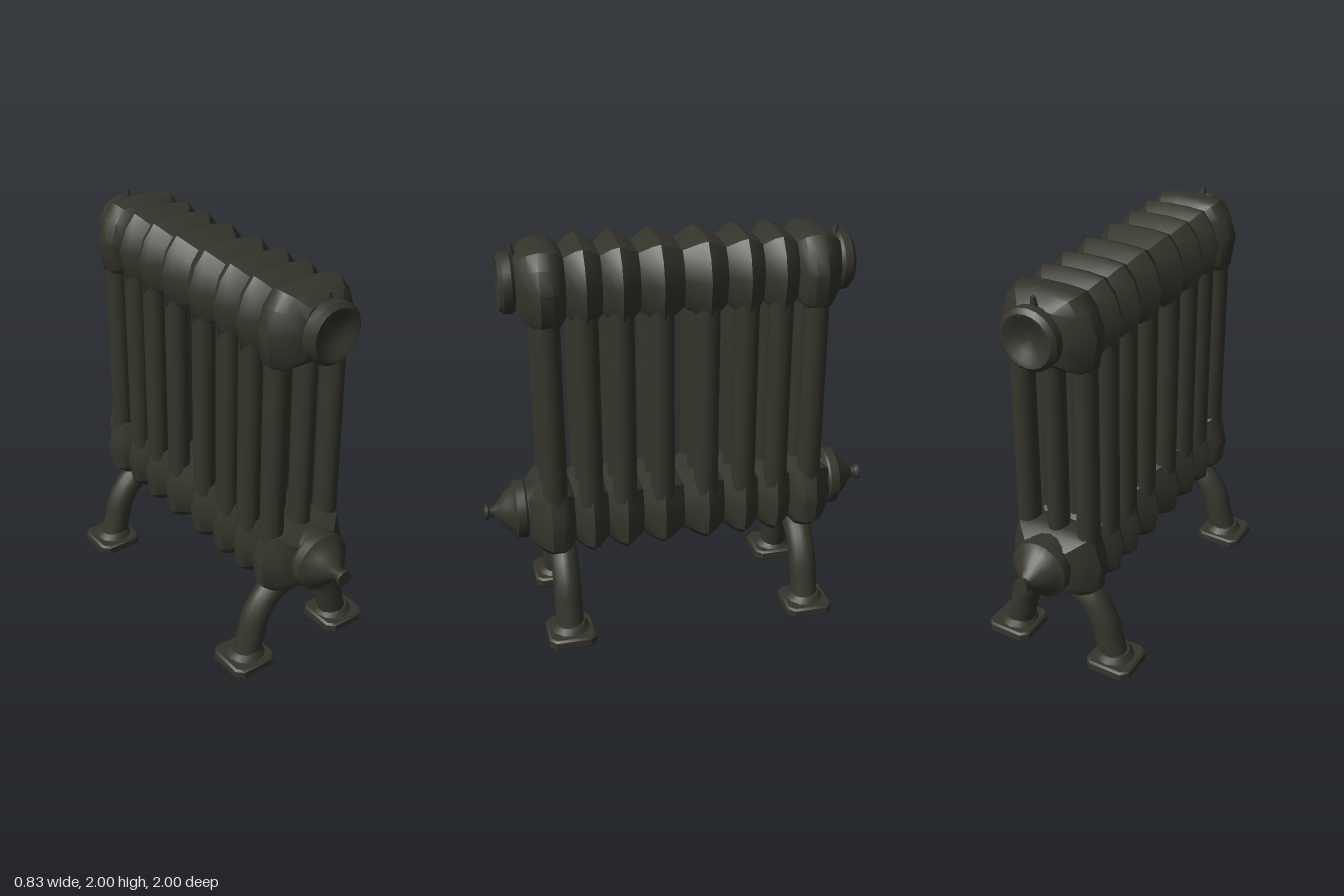
import * as THREE from 'three';
import { toCreasedNormals } from 'three/addons/utils/BufferGeometryUtils.js';

const castIron = new THREE.MeshStandardMaterial({ color: 0x35342b });
castIron.name = 'dark cast iron';

const SECTIONS = [-0.655, -0.475, -0.305, -0.112, 0.112, 0.305, 0.475, 0.655];

function add(parent, name, geometry, x = 0, y = 0, z = 0, crease = 0.6) {
  const mesh = new THREE.Mesh(toCreasedNormals(geometry, crease), castIron);
  mesh.name = name;
  mesh.position.set(x, y, z);
  parent.add(mesh);
  return mesh;
}

// Skin a closed outline (counter-clockwise from +z) scaled along z: rings are [z, scaleX, scaleY]
function loft(outline, rings) {
  const pos = [], idx = [], n = outline.length;
  for (const [z, sx, sy] of rings) for (const [x, y] of outline) pos.push(x * sx, y * sy, z);
  for (let i = 0; i < rings.length - 1; i++) {
    for (let j = 0; j < n; j++) {
      const a = i * n + j, b = i * n + (j + 1) % n;
      idx.push(a, b, b + n, a, b + n, a + n);
    }
  }
  const g = new THREE.BufferGeometry();
  g.setAttribute('position', new THREE.Float32BufferAttribute(pos, 3));
  g.setIndex(idx);
  return g;
}

// Mirror a right-hand half outline (bottom to top) across x = 0
const mirrorOutline = half => [...half, ...half.map(([x, y]) => [-x, y]).reverse()];

// Ridged rings for the whole header: one crest per section, a valley between
function headerRings() {
  const half = [[0, 0.71, 0.74]];
  for (const [crest, valley] of [[0.112, 0.21], [0.305, 0.39], [0.475, 0.56]]) {
    half.push([crest - 0.035, 0.93, 0.94], [crest, 1, 1], [crest + 0.035, 0.93, 0.94], [valley, 0.71, 0.74]);
  }
  half.push([0.59, 0.92, 0.91], [0.625, 1, 0.98], [0.685, 1, 0.98], [0.73, 0.86, 0.9], [0.785, 0.56, 0.66], [0.8, 0.05, 0.05]);
  const back = half.slice(1).reverse().map(([z, a, b]) => [-z, a, b]);
  return [...back, ...half];
}

// Turned part along +z: profile of [radius, z]
const turned = profile =>
  new THREE.LatheGeometry(profile.map(([r, z]) => new THREE.Vector2(r, z)), 20).rotateX(Math.PI / 2);

function makeFoot(parent, side) {
  const w = 0.115, c = 0.03;
  const shape = new THREE.Shape([
    [w, -w + c], [w, w - c], [w - c, w], [-w + c, w], [-w, w - c], [-w, -w + c], [-w + c, -w], [w - c, -w],
  ].map(([x, y]) => new THREE.Vector2(x, y)));
  const plate = new THREE.ExtrudeGeometry(shape, {
    depth: 0.035, bevelEnabled: true, bevelSize: 0.01, bevelThickness: 0.01, bevelOffset: -0.005, bevelSegments: 1,
  }).rotateX(-Math.PI / 2);
  add(parent, 'footPlate', plate, side * 0.293, 0.01, 0);
  add(parent, 'footHub', new THREE.CylinderGeometry(0.075, 0.1, 0.035, 12), side * 0.285, 0.068, 0);
}

function makeEnd(name) {
  const end = new THREE.Group();
  end.name = name;

  // Dished plug on the upper header
  add(end, 'upperPlug', turned([
    [0.13, 0.7], [0.135, 0.785], [0.148, 0.8], [0.146, 0.84], [0.125, 0.86], [0.105, 0.855], [0.07, 0.83], [0, 0.815],
  ]), 0, 1.81, 0);
  const valve = add(end, 'bleedValve', new THREE.CylinderGeometry(0.012, 0.022, 0.08, 8), 0, 1.95, 0.785);
  valve.rotation.x = 0.15;

  // Tapered inlet on the lower header
  add(end, 'lowerInlet', turned([
    [0.14, 0.7], [0.142, 0.79], [0.15, 0.8], [0.148, 0.845], [0.115, 0.865], [0.1, 0.89], [0.055, 0.925],
    [0.028, 0.955], [0.03, 0.975], [0.04, 0.985], [0.04, 1.0], [0, 1.0],
  ]), 0, 0.61, 0);

  // Arched pair of legs with square feet
  const legs = new THREE.Group();
  legs.name = 'legPair';
  legs.position.z = 0.625;
  const half = [[0.285, 0.04], [0.255, 0.15], [0.225, 0.26], [0.14, 0.375]];
  const path = [...half, [0, 0.42], ...half.map(([x, y]) => [-x, y]).reverse()];
  const curve = new THREE.CatmullRomCurve3(path.map(([x, y]) => new THREE.Vector3(x, y, 0)));
  add(legs, 'legArch', new THREE.TubeGeometry(curve, 28, 0.07, 14, false));
  for (const side of [-1, 1]) makeFoot(legs, side);
  end.add(legs);
  return end;
}

export function createModel() {
  const model = new THREE.Group();
  model.name = 'columnRadiator';

  // Ridged upper and lower headers
  const upper = mirrorOutline([
    [0.07, -0.185], [0.2, -0.185], [0.222, -0.16], [0.245, 0], [0.21, 0.11], [0.155, 0.18], [0.06, 0.19],
  ]);
  const lower = mirrorOutline([
    [0.07, -0.185], [0.18, -0.17], [0.228, -0.13], [0.248, 0.01], [0.222, 0.11], [0.205, 0.175], [0.07, 0.18],
  ]);
  add(model, 'upperHeader', loft(upper, headerRings()), 0, 1.808, 0);
  add(model, 'lowerHeader', loft(lower, headerRings()), 0, 0.592, 0);

  // Three slim columns per section
  for (const z of SECTIONS) {
    const section = new THREE.Group();
    section.name = 'columnSection';
    section.position.z = z;
    for (const x of [-0.165, 0, 0.165]) {
      const column = new THREE.CylinderGeometry(0.055, 0.055, 1.2, 14, 1, true);
      column.scale(x ? 1 : 0.92, 1, 1.1);
      add(section, 'column', column, x, 1.2, 0);
    }
    model.add(section);
  }

  // Identical fittings at both ends
  const front = makeEnd('frontEnd');
  const back = makeEnd('backEnd');
  back.rotation.y = Math.PI;
  model.add(front, back);
  return model;
}
